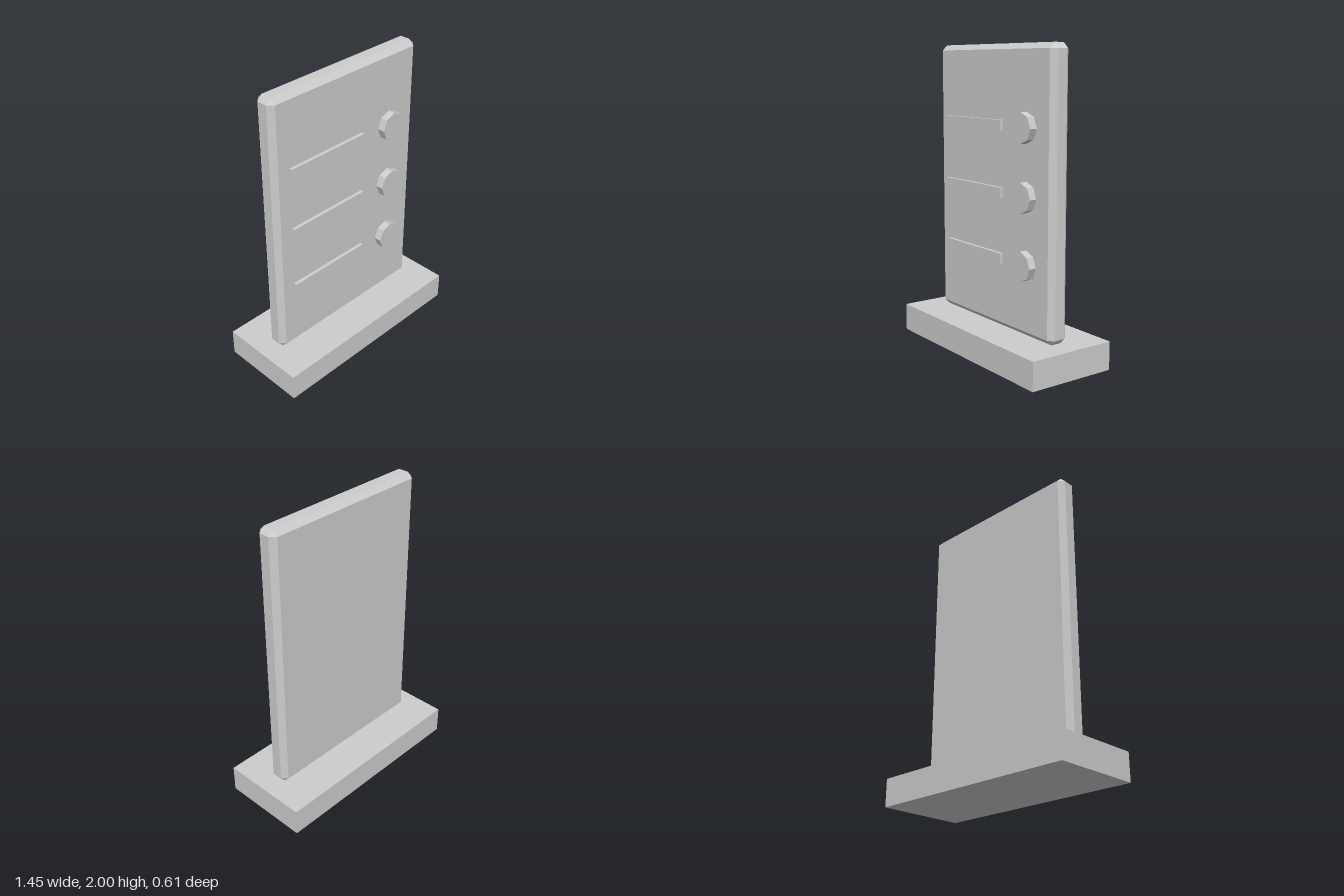
import * as THREE from 'three';
import { ConvexGeometry } from 'three/addons/geometries/ConvexGeometry.js';

// Box with every edge cut at 45 degrees, from half sizes and the cut width
function chamferedBox(x, y, z, c) {
  const points = [];
  for (const sx of [-1, 1]) for (const sy of [-1, 1]) for (const sz of [-1, 1]) {
    points.push(
      new THREE.Vector3(sx * x, sy * (y - c), sz * (z - c)),
      new THREE.Vector3(sx * (x - c), sy * y, sz * (z - c)),
      new THREE.Vector3(sx * (x - c), sy * (y - c), sz * z)
    );
  }
  return new ConvexGeometry(points);
}

export function createModel() {
  const model = new THREE.Group();
  model.name = 'signPanel';
  const grey = new THREE.MeshStandardMaterial({ color: 0xcccccc, flatShading: true });
  grey.name = 'light grey';

  const add = (name, geometry, x, y, z) => {
    const mesh = new THREE.Mesh(geometry, grey);
    mesh.name = name;
    mesh.position.set(x, y, z);
    model.add(mesh);
  };

  // Foot and upright panel
  const baseTop = 0.184, panelHalf = (2 - baseTop) / 2, front = 0.07;
  add('base', new THREE.BoxGeometry(1.452, baseTop, 0.605), 0, baseTop / 2, 0);
  add('panel', chamferedBox(0.605, panelHalf, front, 0.035), 0, baseTop + panelHalf, 0);

  // Three rows, each with a raised bar and an eight-sided button
  const barGeometry = new THREE.BoxGeometry(0.605, 0.07, 0.023);
  const buttonGeometry = new THREE.CylinderGeometry(0.096, 0.096, 0.05, 8).rotateX(Math.PI / 2);
  [1.496, 1.071, 0.646].forEach((y, i) => {
    add(`bar${i + 1}`, barGeometry, -0.184, y, front + 0.0115);
    add(`button${i + 1}`, buttonGeometry, 0.361, y, front + 0.025);
  });

  return model;
}
